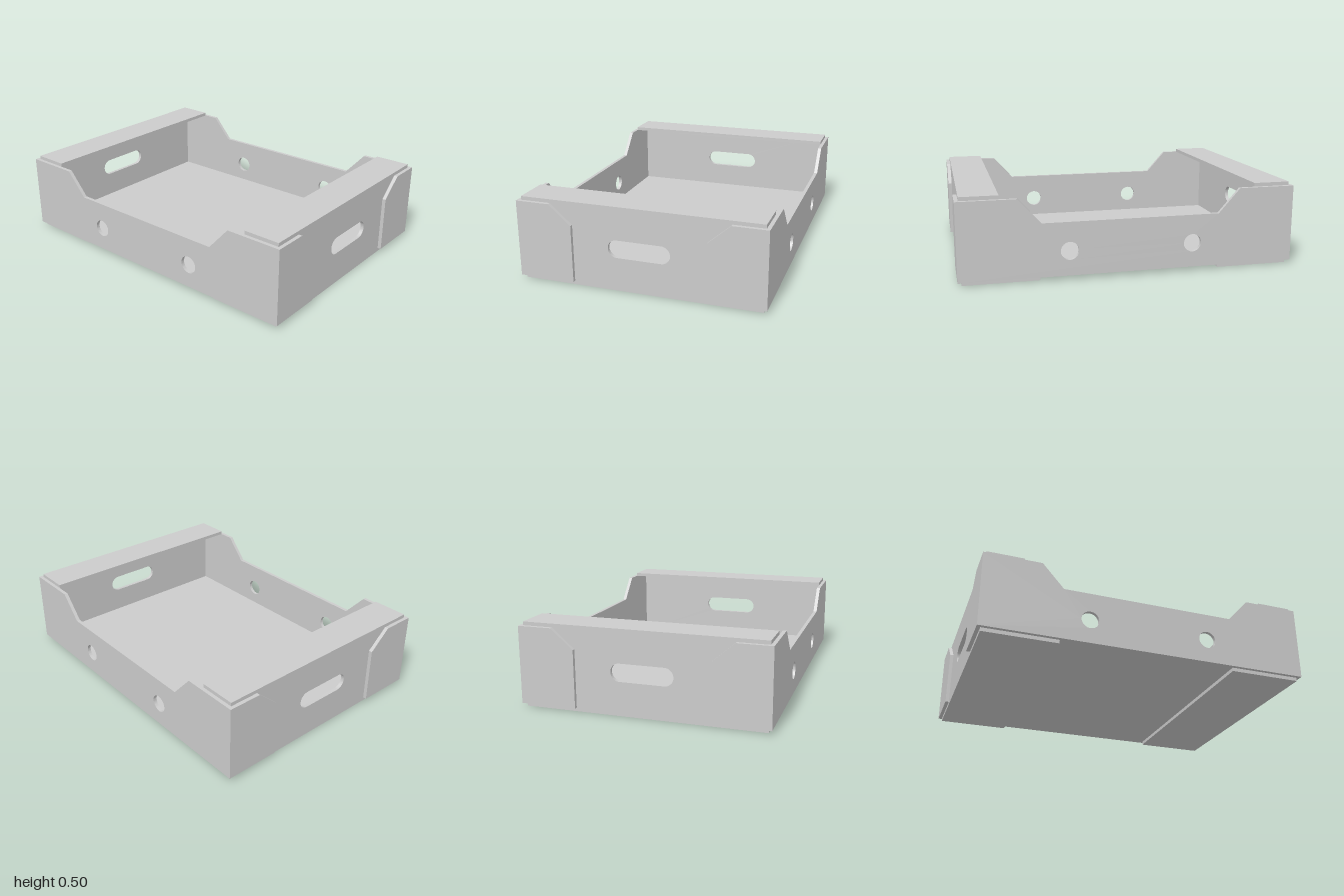
import * as THREE from 'three';
import { toCreasedNormals } from 'three/addons/utils/BufferGeometryUtils.js';

const T = 0.022;                 // board thickness
const W = 1, D = 0.737;          // outer half width and half depth
const SIDE = W - T, END = D - T; // outer face of side panels, inner face of long walls
const TOP = 0.505;

export function createModel() {
  const tray = new THREE.Group();
  tray.name = 'tray';
  const material = new THREE.MeshStandardMaterial({ color: 0xcccccc });

  const add = (name, geometry, x, y, z) => {
    const mesh = new THREE.Mesh(geometry, material);
    mesh.name = name;
    mesh.position.set(x, y, z);
    tray.add(mesh);
    return mesh;
  };
  const outline = (points) => new THREE.Shape(points.map(([x, y]) => new THREE.Vector2(x, y)));
  const board = (shape) => toCreasedNormals(
    new THREE.ExtrudeGeometry(shape, { depth: T, bevelEnabled: false, curveSegments: 24 }), 0.6);
  const box = (name, x0, x1, y0, y1, halfDepth) => add(name,
    new THREE.BoxGeometry(Math.abs(x1 - x0), y1 - y0, halfDepth * 2), (x0 + x1) / 2, (y0 + y1) / 2, 0);

  // Long walls: lowered middle and two round holes
  const wall = outline([[-W, T], [W, T], [W, TOP - T], [0.657, TOP - T], [0.527, 0.338],
    [-0.527, 0.338], [-0.657, TOP - T], [-W, TOP - T]]);
  for (const x of [-0.367, 0.367]) {
    wall.holes.push(new THREE.Path().absarc(x, 0.168, 0.053, 0, Math.PI * 2, true));
  }
  const wallGeometry = board(wall);
  add('frontWall', wallGeometry, 0, 0, END);
  add('backWall', wallGeometry, 0, 0, -D);

  // Side panels: slotted hand hole
  const side = outline([[-END, 0], [END, 0], [END, TOP], [-END, TOP]]);
  const slot = new THREE.Path();
  slot.absarc(0.132, 0.254, 0.053, -Math.PI / 2, Math.PI / 2, false);
  slot.absarc(-0.132, 0.254, 0.053, Math.PI / 2, Math.PI * 1.5, false);
  slot.closePath();
  side.holes.push(slot);
  const sideGeometry = board(side).rotateY(Math.PI / 2);

  // Floor between the side panels
  box('floor', -SIDE + T, SIDE - T, T, T * 2, END);

  for (const s of [-1, 1]) {
    const hand = s > 0 ? 'left' : 'right';
    add(hand + 'SidePanel', sideGeometry, s > 0 ? SIDE - T : -SIDE, 0, 0);

    // Flaps folded inward from the side panel, above and below
    box(hand + 'TopFlap', s * 0.757, s * (SIDE - T), TOP - T, TOP, END);
    box(hand + 'BottomFlap', s * 0.537, s * (SIDE - T), 0, T, END);

    // Corner flaps wrapping from the long walls onto the side panel
    for (const e of [-1, 1]) {
      const flap = outline([[0.4, T], [END, T], [END, TOP - T], [0.533, TOP - T], [0.4, 0.367]]
        .map(([z, y]) => [-e * z, y]));
      add(hand + (e > 0 ? 'Front' : 'Back') + 'CornerFlap',
        board(flap).rotateY(Math.PI / 2), s > 0 ? SIDE : -W, 0, 0);
    }
  }
  return tray;
}
